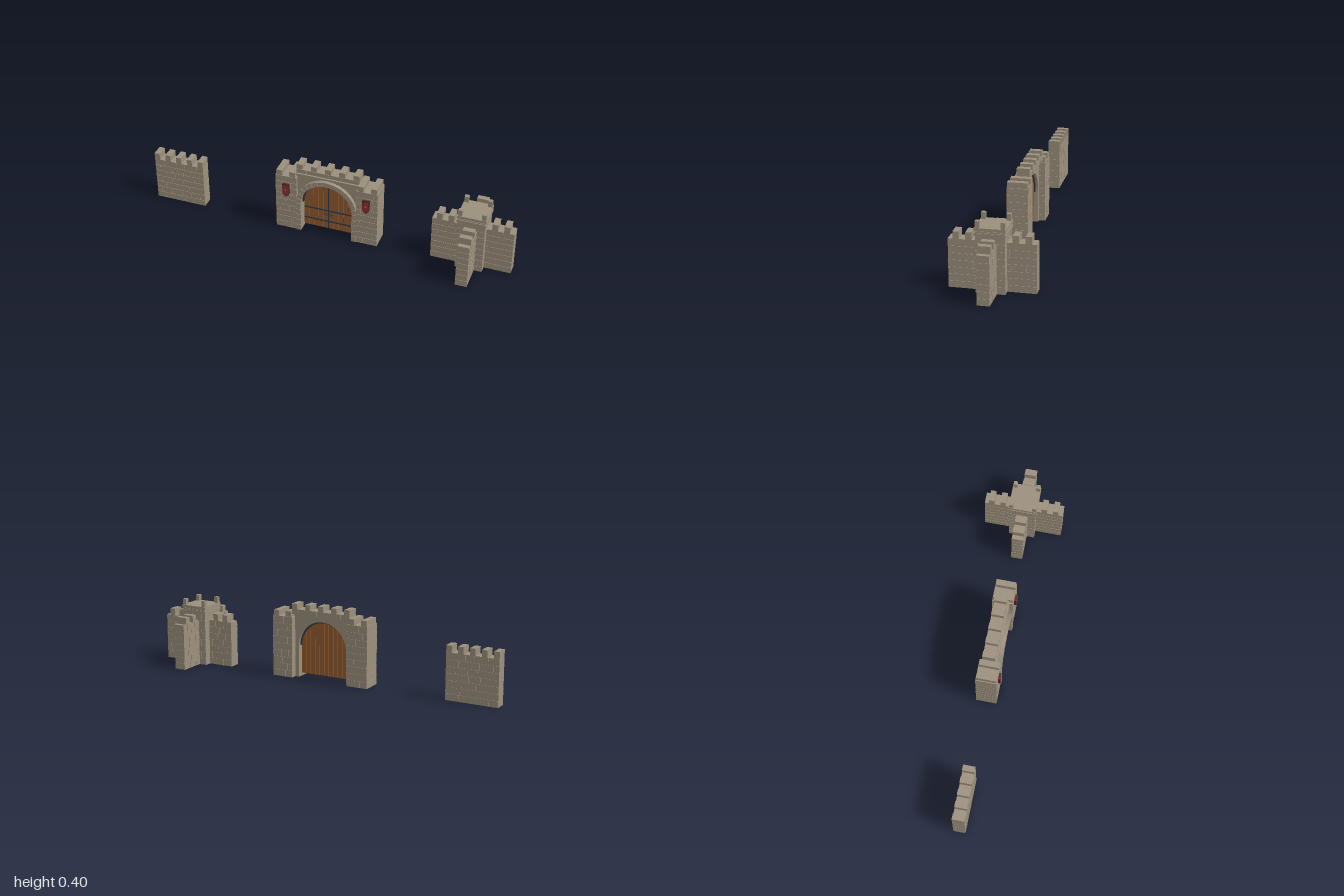
import * as THREE from 'three';
import { mergeGeometries } from 'three/addons/utils/BufferGeometryUtils.js';

const material = (name, hex) => {
  const m = new THREE.MeshStandardMaterial({ color: hex });
  m.name = name;
  return m;
};

// Box given by its minimum and maximum corners
function box(x0, x1, y0, y1, z0, z1) {
  return new THREE.BoxGeometry(x1 - x0, y1 - y0, z1 - z0)
    .translate((x0 + x1) / 2, (y0 + y1) / 2, (z0 + z1) / 2).toNonIndexed();
}

function extrude(shape, z0, z1) {
  const g = new THREE.ExtrudeGeometry(shape, { depth: z1 - z0, bevelEnabled: false, curveSegments: 24 });
  return g.translate(0, 0, z0);
}

// Sector of a ring, angles in radians
function ringSector(r0, r1, a0, a1, cy) {
  const s = new THREE.Shape();
  s.absarc(0, cy, r1, a0, a1, false);
  s.absarc(0, cy, r0, a1, a0, true);
  return s;
}

function seeded(seed) {
  return () => {
    seed = (seed * 16807) % 2147483647;
    return seed / 2147483647;
  };
}

// Masonry: courses of blocks running along x around a slightly smaller core
const GAP = 0.003;
function masonry(x0, x1, y0, y1, z0, z1, seed = 7, courses = 7, length = 0.062) {
  const rand = seeded(seed);
  const i = 0.0025;
  const parts = [box(x0 + i, x1 - i, y0, y1 - 0.001, z0 + i, z1 - i)];
  const h = (y1 - y0) / courses;
  for (let c = 0; c < courses; c++) {
    const bottom = y0 + c * h + (c ? GAP / 2 : 0);
    const top = y0 + (c + 1) * h - (c < courses - 1 ? GAP / 2 : 0);
    let x = x0;
    let next = x0 + length * (c % 2 ? 0.5 : 1) * (0.8 + 0.4 * rand());
    while (x < x1 - 0.001) {
      if (next > x1 - length * 0.3) next = x1;
      parts.push(box(x, next === x1 ? x1 : next - GAP, bottom, top, z0, z1));
      x = next;
      next = x + length * (0.75 + 0.5 * rand());
    }
  }
  return parts;
}

export function createModel() {
  const root = new THREE.Group();
  root.name = 'castleWallSet';
  const stone = material('stone', 0x9c907d);
  const wood = material('wood', 0x935c30);
  const darkWood = material('dark wood', 0x5a3519);
  const iron = material('iron', 0x35393f);
  const red = material('shield red', 0x9c2b2b);
  const darkRed = material('shield rim', 0x4f2625);
  const pale = material('shield emblem', 0xb98078);

  const add = (group, name, parts, mat) => {
    const mesh = new THREE.Mesh(mergeGeometries(parts), mat);
    mesh.name = name;
    group.add(mesh);
    return mesh;
  };
  const section = (name) => {
    const g = new THREE.Group();
    g.name = name;
    root.add(g);
    return g;
  };

  // Straight wall
  const wall = section('straightWall');
  add(wall, 'wallBlocks', masonry(-1, -0.715, 0, 0.248, -0.033, 0.031, 11), stone);
  const wallMerlons = [];
  for (let k = 0; k < 5; k++) {
    const x = -1 + k * 0.0637;
    wallMerlons.push(box(x, x + 0.03, 0.247, 0.285, -0.033, 0.031));
  }
  add(wall, 'wallMerlons', wallMerlons, stone);

  // Crossing tower with four short wings
  const tower = section('crossingTower');
  tower.position.x = 0.785;
  add(tower, 'towerBody', masonry(-0.072, 0.072, 0, 0.288, -0.072, 0.072, 5, 8, 0.06), stone);
  for (let k = 0; k < 4; k++) {
    const wing = new THREE.Group();
    wing.name = 'towerWing';
    wing.rotation.y = k * Math.PI / 2;
    add(wing, 'wingBlocks', masonry(0.06, 0.215, 0, 0.248, -0.031, 0.031, 23 + k), stone);
    add(wing, 'wingMerlons', [
      box(0.099, 0.129, 0.247, 0.285, -0.031, 0.031),
      box(0.161, 0.191, 0.247, 0.285, -0.031, 0.031)
    ], stone);
    tower.add(wing);
  }
  add(tower, 'towerCornice', [[0.288, 0.302, 0.076], [0.302, 0.307, 0.072], [0.307, 0.3105, 0.076],
    [0.3105, 0.313, 0.073], [0.313, 0.327, 0.076]]
    .map(([y0, y1, r]) => box(-r, r, y0, y1, -r, r)), stone);
  const corners = [];
  for (const sx of [-1, 1]) for (const sz of [-1, 1]) {
    corners.push(box(-0.011, 0.011, 0.326, 0.36, -0.011, 0.011).translate(sx * 0.062, 0, sz * 0.062));
  }
  add(tower, 'towerMerlons', corners, stone);

  // Gatehouse
  const gate = section('gatehouse');
  const SPRING = 0.172;
  for (const s of [-1, 1]) {
    const x0 = s < 0 ? -0.283 : 0.165;
    add(gate, 'gateTower', masonry(x0, x0 + 0.118, 0, 0.33, -0.058, 0.053, 40 + s, 9, 0.055), stone);
    const merlons = [0.262, 0.189].map((c) =>
      box(s * c - 0.016, s * c + 0.016, 0.329, 0.36, -0.055, 0.051));
    add(gate, 'gateTowerMerlons', merlons, stone);
    // Arch jambs
    const j0 = s < 0 ? -0.168 : 0.142;
    add(gate, 'archJamb', masonry(j0, j0 + 0.026, 0, SPRING, 0.03, 0.056, 3, 5, 0.1), stone);
  }

  // Wall over the door, with an arched opening
  const panel = new THREE.Shape();
  panel.moveTo(-0.17, 0);
  panel.lineTo(-0.142, 0);
  panel.lineTo(-0.142, SPRING);
  panel.absarc(0, SPRING, 0.142, Math.PI, 0, true);
  panel.lineTo(0.142, 0);
  panel.lineTo(0.17, 0);
  panel.lineTo(0.17, 0.35);
  panel.lineTo(-0.17, 0.35);
  add(gate, 'archWall', [extrude(panel, -0.024, 0.035)], stone);

  // Wedge stones around the arch
  const wedges = [extrude(ringSector(0.143, 0.166, 0, Math.PI, SPRING), 0.03, 0.053)];
  const count = 15;
  for (let k = 0; k < count; k++) {
    const step = Math.PI / count;
    wedges.push(extrude(ringSector(0.142, 0.168, k * step + 0.01, (k + 1) * step - 0.01, SPRING), 0.03, 0.056));
  }
  add(gate, 'archStones', wedges, stone);

  // Parapet above the arch
  add(gate, 'gateParapet', masonry(-0.173, 0.173, 0.345, 0.373, -0.043, 0.026, 17, 1, 0.07), stone);
  add(gate, 'gateMerlons', [-2, -1, 0, 1, 2].map((k) =>
    box(k * 0.0785 - 0.016, k * 0.0785 + 0.016, 0.372, 0.402, -0.043, 0.024)), stone);

  // Door planks trimmed to the arch, on a thin dark core
  const R = 0.137;
  const arcTop = (x) => SPRING + Math.sqrt(Math.max(R * R - x * x, 0));
  const plankShape = (x0, x1) => {
    const s = new THREE.Shape();
    s.moveTo(x0, 0.02);
    s.lineTo(x1, 0.02);
    for (let k = 0; k <= 6; k++) {
      const x = x1 + (x0 - x1) * k / 6;
      s.lineTo(x, arcTop(x));
    }
    return s;
  };
  const planks = [];
  const pw = 2 * R / 10;
  for (let k = 0; k < 10; k++) {
    const x = -R + k * pw;
    planks.push(extrude(plankShape(x + 0.0008, x + pw - 0.0008), -0.004, 0.014));
  }
  add(gate, 'doorPlanks', planks, wood);
  const core = new THREE.Shape();
  core.moveTo(-R, 0.021);
  core.lineTo(R, 0.021);
  core.lineTo(R, SPRING);
  core.absarc(0, SPRING, R, 0, Math.PI, false);
  add(gate, 'doorCore', [extrude(core, 0, 0.01)], darkWood);

  // Iron rim, straps and centre seam
  const fittings = [extrude(ringSector(0.134, 0.1425, 0, Math.PI, SPRING), -0.01, 0.03)];
  for (const y of [0.067, 0.136]) {
    fittings.push(box(-0.136, -0.003, y - 0.004, y + 0.004, 0.013, 0.018));
    fittings.push(box(0.003, 0.136, y - 0.004, y + 0.004, 0.013, 0.018));
  }
  fittings.push(box(-0.003, 0.003, 0.02, 0.306, 0.012, 0.0165));
  add(gate, 'doorIronwork', fittings, iron);

  // Ring handles
  for (const s of [-1, 1]) {
    const ring = add(gate, 'doorRing', [new THREE.TorusGeometry(0.008, 0.002, 8, 20)], iron);
    ring.position.set(s * 0.013, 0.115, 0.019);
  }

  // Hanging shields
  const shieldShape = (k) => {
    const s = new THREE.Shape();
    s.moveTo(-0.019 * k, 0.04 * k);
    s.lineTo(0.019 * k, 0.04 * k);
    s.lineTo(0.019 * k, -0.018 * k);
    s.quadraticCurveTo(0.015 * k, -0.03 * k, 0, -0.039 * k);
    s.quadraticCurveTo(-0.015 * k, -0.03 * k, -0.019 * k, -0.018 * k);
    return s;
  };
  for (const s of [-1, 1]) {
    const shield = new THREE.Group();
    shield.name = 'shield';
    shield.position.set(s * 0.222, 0.246, 0);
    add(shield, 'shieldRim', [extrude(shieldShape(1), 0.052, 0.064)], darkRed);
    add(shield, 'shieldFace', [extrude(shieldShape(0.8), 0.063, 0.066)], red);
    add(shield, 'shieldEmblem', [new THREE.CircleGeometry(0.006, 4).translate(0, 0.006, 0.0665)], pale);
    gate.add(shield);
  }
  return root;
}
